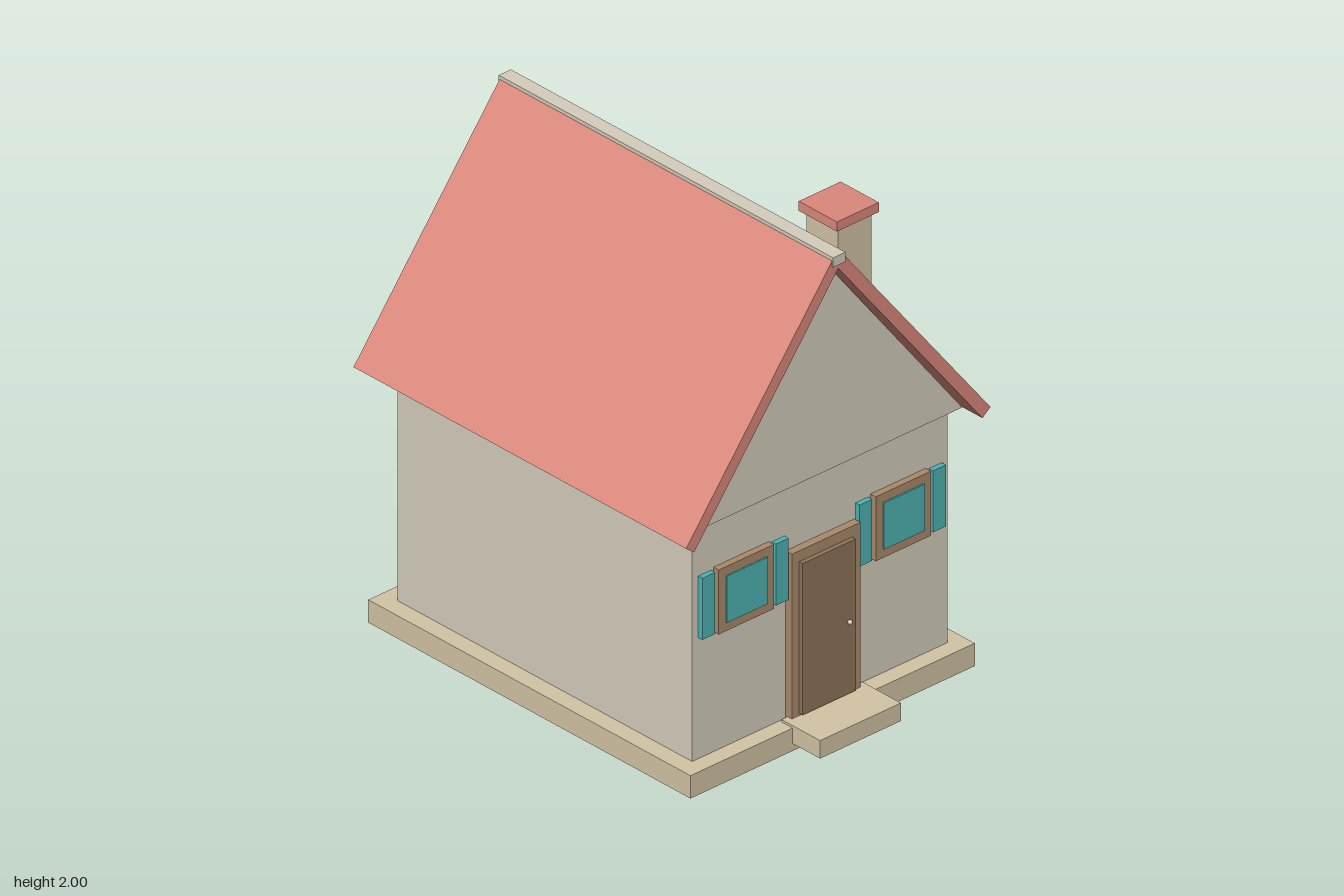
import * as THREE from 'three';

const mat = (color) => new THREE.MeshStandardMaterial({ color, flatShading: true });

export function createModel() {
  const house = new THREE.Group();
  house.name = 'house';
  const plaster = mat(0xd6cebd), stone = mat(0xd3c5a5), tile = mat(0xdb897d);
  const teal = mat(0x4fb3b3), wood = mat(0xaa8b6b), darkWood = mat(0x8f7559);
  const midX = -0.05, midZ = -0.05;

  // Box given by its extents on each axis
  function box(name, material, [x0, x1], [y0, y1], [z0, z1], parent = house) {
    const m = new THREE.Mesh(new THREE.BoxGeometry(x1 - x0, y1 - y0, z1 - z0), material);
    m.position.set((x0 + x1) / 2, (y0 + y1) / 2, (z0 + z1) / 2);
    m.name = name;
    parent.add(m);
    return m;
  }

  // Slab of a given outline, extruded along z
  function prism(name, material, points, z0, z1) {
    const shape = new THREE.Shape(points.map(([x, y]) => new THREE.Vector2(x, y)));
    const geo = new THREE.ExtrudeGeometry(shape, { depth: z1 - z0, bevelEnabled: false });
    const m = new THREE.Mesh(geo, material);
    m.position.set(midX, 0, z0);
    m.name = name;
    house.add(m);
  }

  // Foundation, doorstep and walls
  box('foundation', stone, [-0.745, 0.645], [0, 0.095], [-0.905, 0.80]);
  box('doorstep', stone, [-0.245, 0.15], [0.03, 0.105], [0.74, 0.945]);
  box('walls', plaster, [-0.672, 0.577], [0.095, 1.06], [-0.83, 0.73]);

  // Gable block, slightly wider than the walls
  prism('gable', plaster, [[-0.68, 1.06], [0.68, 1.06], [0, 1.94]], -0.855, 0.75);

  // Two roof slabs with square-cut ends, and the ridge cap
  const slab = [[-0.744, 1.071], [-0.705, 1.04], [0.009, 1.954], [-0.03, 1.985]];
  for (const s of [1, -1]) {
    prism(s > 0 ? 'roofRight' : 'roofLeft', tile, slab.map(([x, y]) => [x * s, y]), -0.93, 0.83);
  }
  box('ridgeCap', plaster, [midX - 0.03, midX + 0.03], [1.96, 2.0], [midZ - 0.885, midZ + 0.885]);

  // Chimney
  box('chimney', stone, [0.28, 0.445], [1.3, 1.825], [0.305, 0.47]);
  box('chimneyCap', tile, [0.26, 0.465], [1.825, 1.865], [0.285, 0.487]);

  // Door
  box('doorFrame', wood, [-0.215, 0.12], [0.095, 0.79], [0.72, 0.763]);
  box('door', darkWood, [-0.18, 0.08], [0.115, 0.745], [0.74, 0.782]);
  const knob = new THREE.Mesh(new THREE.SphereGeometry(0.01, 12, 8), plaster);
  knob.position.set(0.045, 0.415, 0.79);
  knob.name = 'doorKnob';
  house.add(knob);

  // Window with a pane and a pair of shutters
  function addWindow(name, x, y, z, turn) {
    const w = new THREE.Group();
    w.name = name;
    box('windowFrame', wood, [-0.135, 0.135], [-0.134, 0.134], [0, 0.03], w);
    box('windowPane', teal, [-0.1, 0.1], [-0.097, 0.097], [0.01, 0.036], w);
    for (const s of [-1, 1]) {
      box('shutter', teal, [s * 0.18 - 0.031, s * 0.18 + 0.031], [-0.128, 0.128], [0.004, 0.026], w);
    }
    w.position.set(x, y, z);
    w.rotation.y = turn;
    house.add(w);
  }
  addWindow('windowFrontRight', -0.433, 0.728, 0.728, 0);
  addWindow('windowFrontLeft', 0.335, 0.728, 0.728, 0);
  addWindow('windowSide', 0.581, 0.70, -0.268, Math.PI);

  return house;
}
